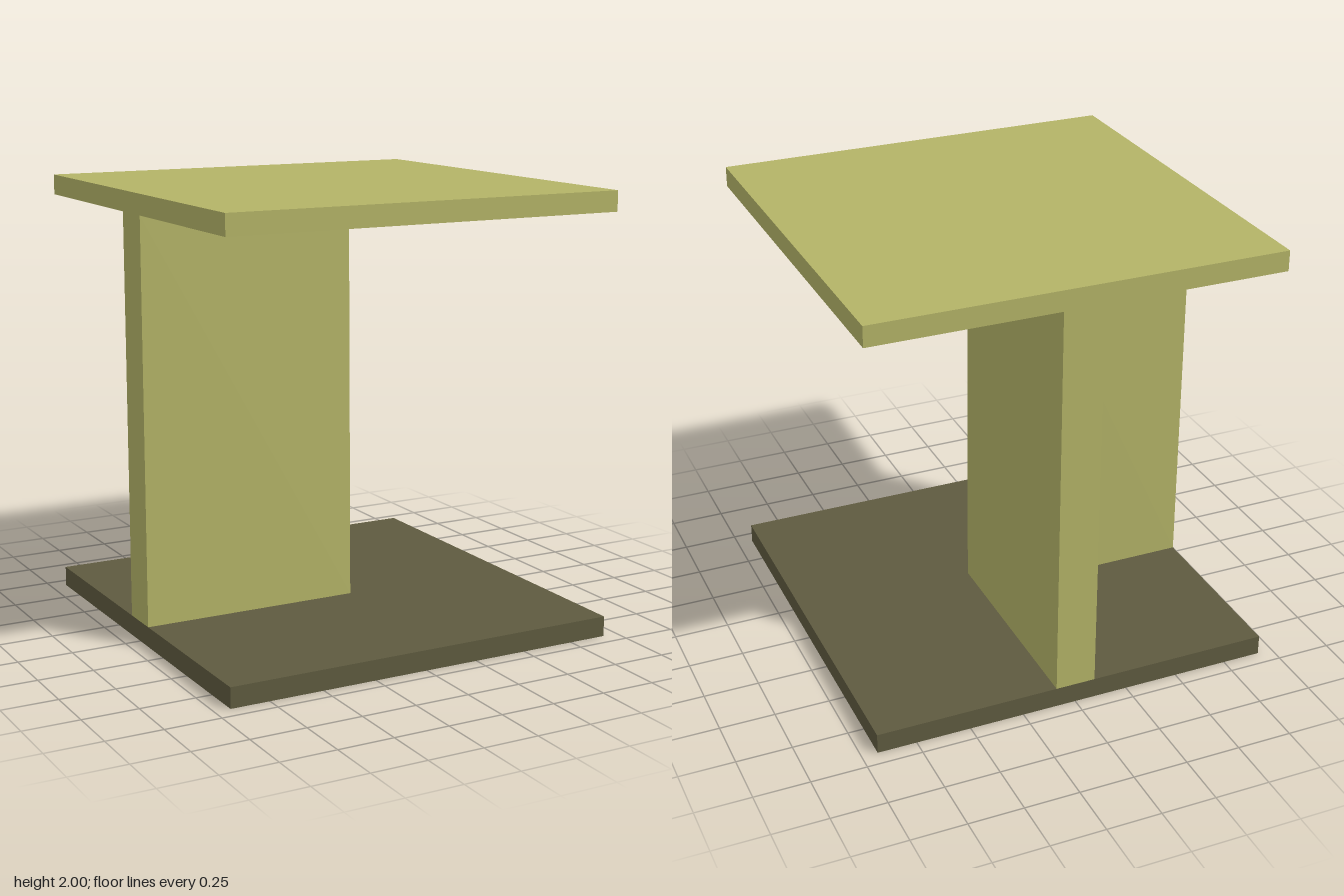
import * as THREE from 'three';

export function createModel() {
  const group = new THREE.Group();
  const wallColor = new THREE.MeshStandardMaterial({ color: 0xb3b367 });
  wallColor.name = 'pale olive';
  const floorColor = new THREE.MeshStandardMaterial({ color: 0x5e5a3f });
  floorColor.name = 'dark olive';

  const half = 0.928;   // half width of the slabs
  const slab = 0.092;   // slab thickness
  const t = 0.092;      // half thickness of the walls
  const lean = 0.023;   // backward shift of the corner at its top

  const add = (name, geometry, material, y) => {
    const mesh = new THREE.Mesh(geometry, material);
    mesh.name = name;
    mesh.position.y = y;
    group.add(mesh);
  };

  // Square slabs below and above
  const plate = new THREE.BoxGeometry(half * 2, slab, half * 2);
  add('floorSlab', plate, floorColor, slab / 2);
  add('roofSlab', plate, wallColor, 2 - slab / 2);

  // L-shaped wall, plan drawn as (x, -z)
  const plan = new THREE.Shape([
    [-half, -t], [t, -t], [t, half], [-t, half], [-t, t], [-half, t],
  ].map(([x, y]) => new THREE.Vector2(x, y)));
  const height = 2 - slab * 2;
  const wall = new THREE.ExtrudeGeometry(plan, { depth: height, bevelEnabled: false });
  wall.rotateX(-Math.PI / 2);

  // Pull the top of the corner slightly back
  const p = wall.attributes.position;
  for (let i = 0; i < p.count; i++) {
    const atCorner = Math.abs(p.getX(i)) < t + 0.01 && Math.abs(p.getZ(i)) < t + 0.01;
    if (atCorner && p.getY(i) > height / 2) p.setZ(i, p.getZ(i) - lean);
  }
  wall.computeVertexNormals();
  add('cornerWall', wall, wallColor, slab);

  return group;
}
